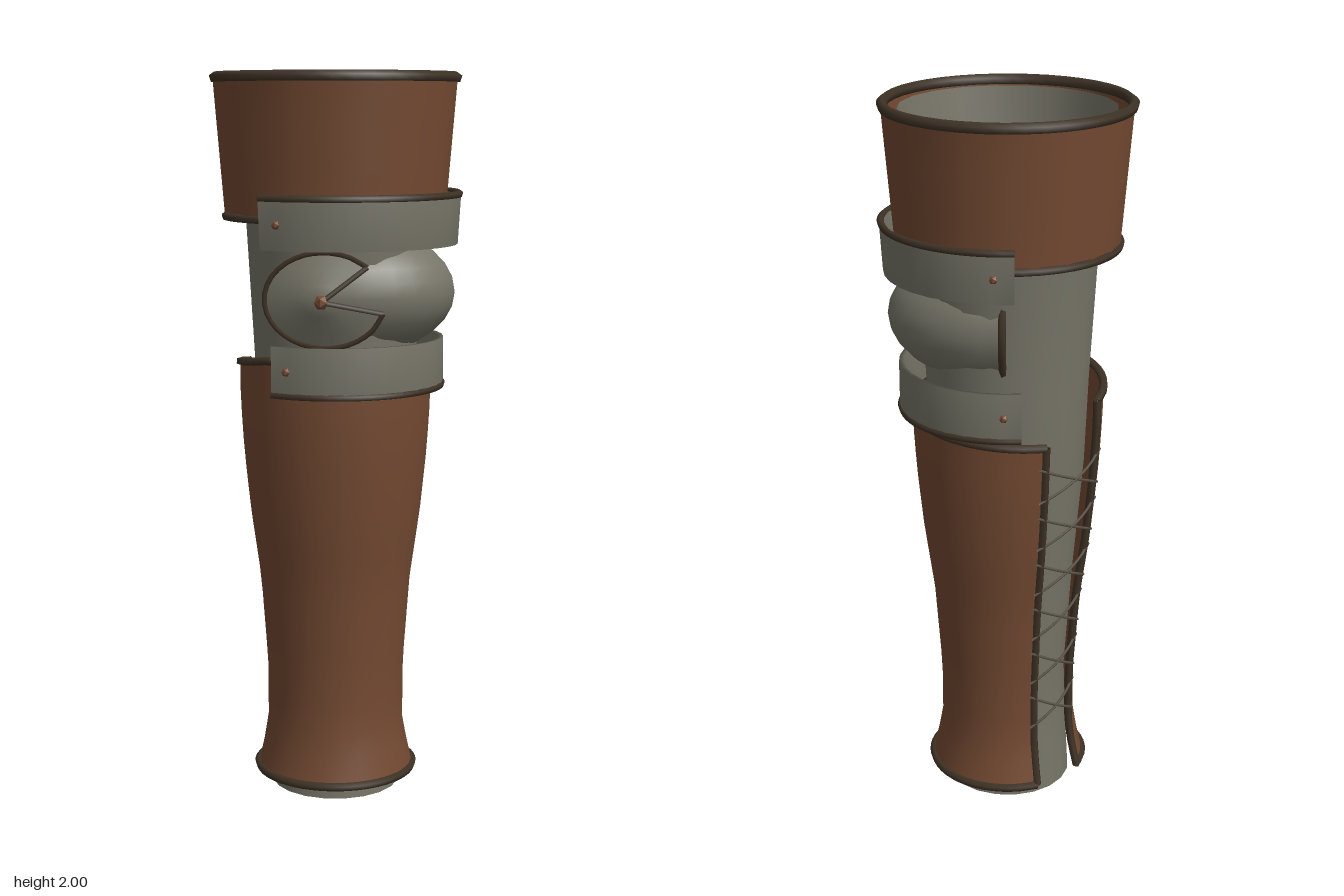
import * as THREE from 'three';
import { mergeVertices } from 'three/addons/utils/BufferGeometryUtils.js';

const material = (name, color) =>
  new THREE.MeshStandardMaterial({ name, color, side: THREE.DoubleSide });
const RAD = Math.PI / 180;

// Point on a circle about the vertical axis; 0 degrees is +x, 90 is +z
const polar = (deg, r, y) =>
  new THREE.Vector3(r * Math.cos(deg * RAD), y, r * Math.sin(deg * RAD));

// Smooth sheet from f(u, v) with u and v in 0..1
function sheet(nu, nv, f) {
  const pos = [], index = [];
  for (let i = 0; i <= nu; i++)
    for (let j = 0; j <= nv; j++) pos.push(...f(i / nu, j / nv).toArray());
  for (let i = 0; i < nu; i++) {
    for (let j = 0; j < nv; j++) {
      const a = i * (nv + 1) + j, b = a + nv + 1;
      index.push(a, a + 1, b, b, a + 1, b + 1);
    }
  }
  const g = new THREE.BufferGeometry();
  g.setAttribute('position', new THREE.Float32BufferAttribute(pos, 3));
  g.setIndex(index);
  const merged = mergeVertices(g, 1e-5);
  merged.computeVertexNormals();
  return merged;
}

// Radius at a height, read from a short [radius, y] profile
function radiusAt(profile, y) {
  for (let i = 1; i < profile.length; i++) {
    const [r0, y0] = profile[i - 1], [r1, y1] = profile[i];
    if (y <= y1) return r0 + (r1 - r0) * (y - y0) / (y1 - y0);
  }
  return profile[profile.length - 1][0];
}

export function createModel() {
  const model = new THREE.Group();
  model.name = 'legArmour';
  const leather = material('leather', 0x744a32);
  const steel = material('steel', 0x777568);
  const trimColour = material('dark trim', 0x3f3326);
  const cord = material('cord', 0x5c554a);
  const add = (name, geometry, mat) => {
    const m = new THREE.Mesh(geometry, mat);
    m.name = name;
    model.add(m);
    return m;
  };
  const sample = (n, f) => Array.from({ length: n + 1 }, (_, i) => f(i / n));
  const tube = (name, points, r, mat = trimColour, closed = false) => {
    const curve = new THREE.CatmullRomCurve3(points, closed, 'centripetal');
    return add(name, new THREE.TubeGeometry(curve, points.length * 2, r, 5, closed), mat);
  };
  const ring = (name, r, y, size) =>
    tube(name, sample(19, t => polar(t * 342, r, y)), size, trimColour, true);

  // Inner sleeve, open at both ends
  const sleeve = [[0.18, 0], [0.172, 0.15], [0.165, 0.35], [0.185, 0.65], [0.215, 1],
    [0.225, 1.25], [0.245, 1.6], [0.268, 1.8], [0.29, 1.975]];
  add('innerSleeve', sheet(20, sleeve.length - 1, (u, v) => {
    const [r, y] = sleeve[Math.round(v * (sleeve.length - 1))];
    return polar(u * 360, r, y);
  }), steel);

  // Thigh cuff
  add('thighCuff', sheet(22, 3, (u, v) =>
    polar(u * 360, 0.302 + 0.03 * v, 1.615 + 0.37 * v)), leather);
  ring('thighTopTrim', 0.328, 1.985, 0.015);
  ring('thighBottomTrim', 0.301, 1.615, 0.011);

  // Shin guard wrapped around the leg, open at the back
  const shin = [[0.22, 0.05], [0.212, 0.09], [0.192, 0.17], [0.192, 0.35], [0.21, 0.6],
    [0.238, 0.8], [0.255, 0.97], [0.264, 1.12], [0.264, 1.3]];
  const a0 = -124, a1 = 193;
  const topAt = a => a < 0 ? 1.155 + 0.04 * a / 124
    : a < 120 ? 1.155 + 0.085 * a / 120 : 1.24 - 0.04 * (a - 120) / 73;
  const shinPoint = (u, v) => {
    const a = a0 + (a1 - a0) * u, y = 0.05 + (topAt(a) - 0.05) * v;
    return polar(a, radiusAt(shin, y), y);
  };
  add('shinGuard', sheet(24, 16, shinPoint), leather);
  tube('shinTopTrim', sample(22, t => shinPoint(t, 1)), 0.012);
  tube('shinBottomTrim', sample(22, t => shinPoint(t, 0)), 0.012);
  for (const side of [0, 1])
    tube('shinEdgeTrim', sample(14, t => shinPoint(side, t)), 0.012);

  // Crossed laces over the opening
  for (let i = 0; i < 6; i++) {
    const y = 0.28 + i * 0.145;
    for (const s of [-1, 1]) {
      const points = sample(4, t => {
        const h = y + s * (t - 0.5) * 0.1;
        return polar(189 + t * 51, radiusAt(shin, h) + 0.008, h);
      });
      tube('lace', points, 0.004, cord);
    }
  }

  // Straps above and below the knee, each with a rivet near both ends
  const strap = (name, y0, y1, r0, r1, from, to, trimTop) => {
    const t = 0.012;
    const section = [[r0 - t, y0], [r0, y0], [r1, y1], [r1 - t, y1], [r0 - t, y0]];
    add(name, sheet(22, 4, (u, v) => {
      const [r, y] = section[Math.round(v * 4)];
      return polar(from + (to - from) * u, r, y);
    }), steel);
    const edge = trimTop ? [r1 - 0.004, y1] : [r0 - 0.004, y0];
    tube(name + 'Trim', sample(20, k => polar(from + (to - from) * k, ...edge)), 0.01);
    for (const a of [from + 9, to - 9]) {
      const rivet = add('rivet', new THREE.IcosahedronGeometry(0.012, 0), leather);
      rivet.position.copy(polar(a, (r0 + r1) / 2 + 0.002, (y0 + y1) / 2));
    }
  };
  strap('upperStrap', 1.54, 1.675, 0.335, 0.343, -104, 116, true);
  strap('lowerStrap', 1.155, 1.285, 0.298, 0.298, -108, 115, false);

  // Knee cup: half of a squashed ball, open at the poles
  const cup = (u, v) => {
    const a = (-96 + 192 * u) * RAD, lat = (-70 + 140 * v) * RAD;
    return new THREE.Vector3(0.33 * Math.cos(lat) * Math.cos(a),
      1.41 + 0.19 * Math.sin(lat), 0.252 * Math.cos(lat) * Math.sin(a));
  };
  add('kneeCup', sheet(18, 12, cup), steel);
  for (const side of [0, 1]) {
    tube('kneeCupEdgeTrim', sample(10, t => cup(side, t)), 0.011);
    tube('kneeCupPoleTrim', sample(10, t => cup(t, side)), 0.011);
  }

  // Side rondel: shallow cone with a notch cut out
  const rondel = (u, v) => {
    const a = (45 + 300 * u) * RAD;
    return new THREE.Vector3(0.02 + 0.16 * v * Math.cos(a),
      1.41 + 0.125 * v * Math.sin(a), 0.33 - 0.05 * v);
  };
  add('kneeRondel', sheet(14, 3, (u, v) => rondel(1 - u, 1 - v)), steel);
  tube('rondelRim', sample(14, t => rondel(t, 1)), 0.007);
  for (const side of [0, 1])
    tube('rondelNotchTrim', sample(3, t => rondel(side, t)), 0.007);
  const boss = add('rondelRivet', new THREE.IcosahedronGeometry(0.02, 0), leather);
  boss.position.set(0.02, 1.41, 0.328);

  return model;
}
